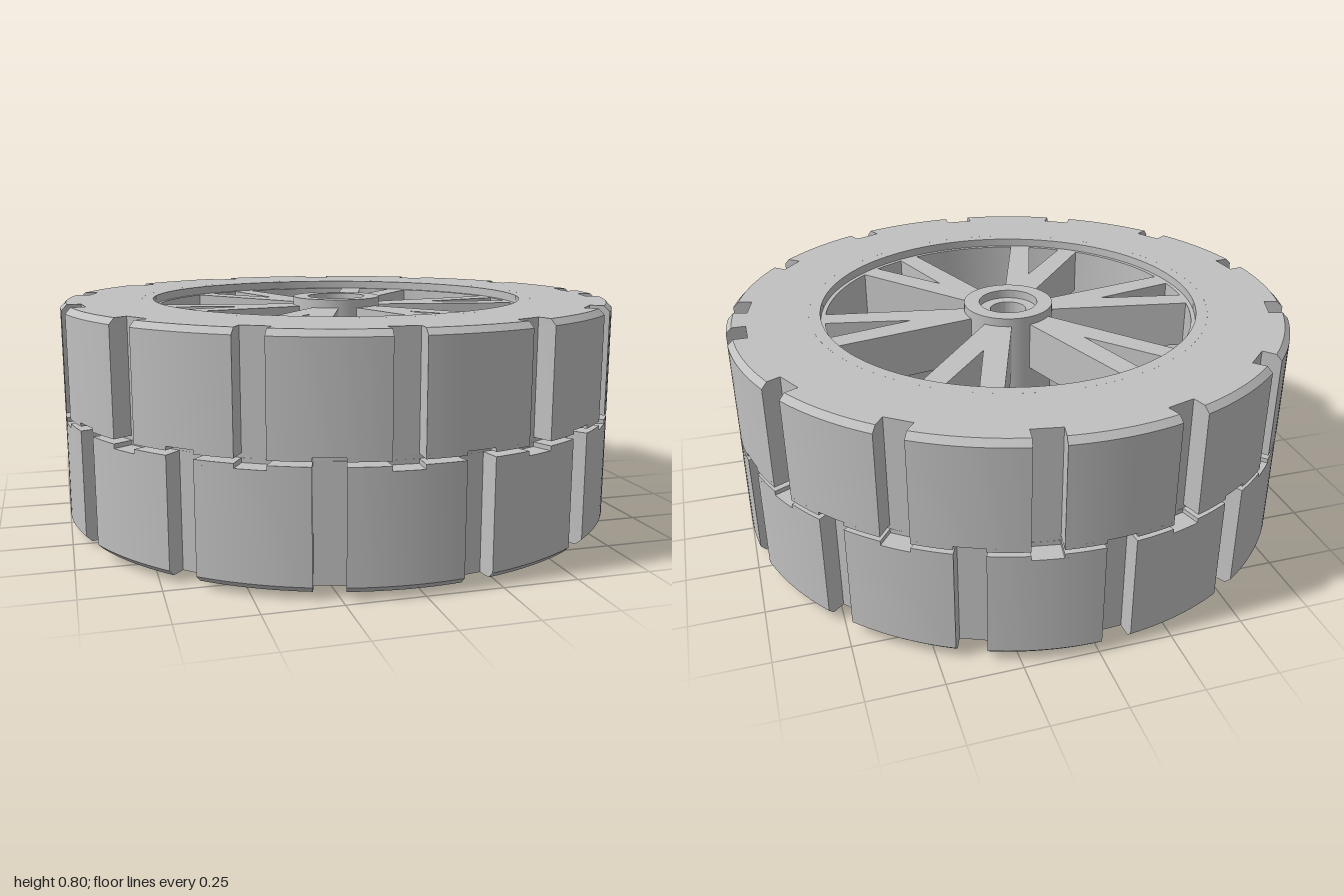
import * as THREE from 'three';
import { toCreasedNormals } from 'three/addons/utils/BufferGeometryUtils.js';

const SLOTS = 27, STEP = (Math.PI * 2) / SLOTS;
const SLOT_HALF = 0.05, FLOOR_R = 0.93, RIM_R = 0.715, CHAMFER = 0.02;

export function createModel() {
  const model = new THREE.Group();
  model.name = 'wheel';
  const grey = new THREE.MeshStandardMaterial({ color: 0xc0c0c0 });
  grey.name = 'grey';

  function add(parent, name, geometry) {
    const mesh = new THREE.Mesh(toCreasedNormals(geometry, 0.45), grey);
    mesh.name = name;
    parent.add(mesh);
    return mesh;
  }

  // Turned solid from a closed profile, listed counter-clockwise
  function turned(parent, name, profile, segments = 120) {
    const points = [...profile, profile[0]].map(([r, y]) => new THREE.Vector2(r, y));
    return add(parent, name, new THREE.LatheGeometry(points, segments));
  }

  // Flat shape in x/z raised between two heights
  function slab(shape, y0, y1, steps = 1) {
    const g = new THREE.ExtrudeGeometry(shape, {
      depth: y1 - y0, bevelEnabled: false, steps, curveSegments: 120,
    });
    return g.rotateX(Math.PI / 2).translate(0, y1, 0);
  }

  // Ring outline with straight-sided slots cut into its edge
  function treadShape(hasSlot) {
    const points = [];
    const edge = Math.sqrt(1 - SLOT_HALF ** 2), half = Math.asin(SLOT_HALF);
    for (let k = 1; k <= SLOTS; k++) {
      const a = k * STEP, c = Math.cos(a), s = Math.sin(a);
      const cut = hasSlot(k);
      if (cut) {
        for (const [r, t] of [[edge, -SLOT_HALF], [FLOOR_R, -SLOT_HALF], [FLOOR_R, SLOT_HALF], [edge, SLOT_HALF]]) {
          points.push(new THREE.Vector2(r * c - t * s, r * s + t * c));
        }
      } else {
        points.push(new THREE.Vector2(c, s));
      }
      const from = a + (cut ? half : 0);
      const to = a + STEP - (hasSlot(k === SLOTS ? 1 : k + 1) ? half : 0);
      for (let i = 1; i < 6; i++) {
        const b = from + ((to - from) * i) / 6;
        points.push(new THREE.Vector2(Math.cos(b), Math.sin(b)));
      }
    }
    const shape = new THREE.Shape(points);
    shape.holes.push(new THREE.Path().absarc(0, 0, RIM_R, 0, Math.PI * 2, true));
    return shape;
  }

  // Tread layer whose outer end (side +1 top, -1 bottom) is chamfered
  function chamferedTread(name, hasSlot, y0, y1, side) {
    const g = slab(treadShape(hasSlot), y0, y1, 2);
    const p = g.attributes.position;
    const end = side > 0 ? y1 : y0, middle = (y0 + y1) / 2;
    for (let i = 0; i < p.count; i++) {
      const x = p.getX(i), y = p.getY(i), z = p.getZ(i);
      if (Math.abs(y - middle) < 1e-4) p.setY(i, end - side * CHAMFER);
      else if (Math.abs(y - end) < 1e-4 && Math.hypot(x, z) > 0.97) {
        p.setXYZ(i, x * (1 - CHAMFER), y, z * (1 - CHAMFER));
      }
    }
    add(tyre, name, g);
  }

  // Tyre: two tread rows with staggered slots and a groove between them
  const tyre = new THREE.Group();
  tyre.name = 'tyre';
  model.add(tyre);
  const upper = (k) => k % 2 === 1, lower = (k) => k % 2 === 0, all = () => true;
  chamferedTread('lowerTread', lower, 0.02, 0.39, -1);
  add(tyre, 'lowerTreadLip', slab(treadShape(all), 0.39, 0.405));
  turned(tyre, 'groove', [[FLOOR_R, 0.405], [FLOOR_R, 0.42], [RIM_R, 0.42], [RIM_R, 0.405]]);
  add(tyre, 'upperTreadLip', slab(treadShape(all), 0.42, 0.433));
  chamferedTread('upperTread', upper, 0.433, 0.8, 1);

  // Rim barrel with a shallow step at the top
  turned(model, 'rim', [
    [RIM_R, 0.02], [RIM_R, 0.8], [0.675, 0.8], [0.675, 0.77], [0.66, 0.77], [0.66, 0.02],
  ]);

  // Hub with a through bore and a counterbore on top
  turned(model, 'hub', [
    [0.16, 0], [0.16, 0.8], [0.105, 0.8], [0.105, 0.77], [0.065, 0.77], [0.065, 0],
  ], 64);

  // Six forked spokes
  const fork = new THREE.Shape([
    [0.13, -0.045], [0.668, -0.143], [0.668, -0.064], [0.36, 0],
    [0.668, 0.064], [0.668, 0.143], [0.13, 0.045],
  ].map(([x, z]) => new THREE.Vector2(x, z)));
  const spokes = new THREE.Group();
  spokes.name = 'spokes';
  model.add(spokes);
  for (let i = 0; i < 6; i++) {
    add(spokes, 'spoke', slab(fork, 0.6, 0.77)).rotation.y = (i * Math.PI) / 3;
  }

  return model;
}
